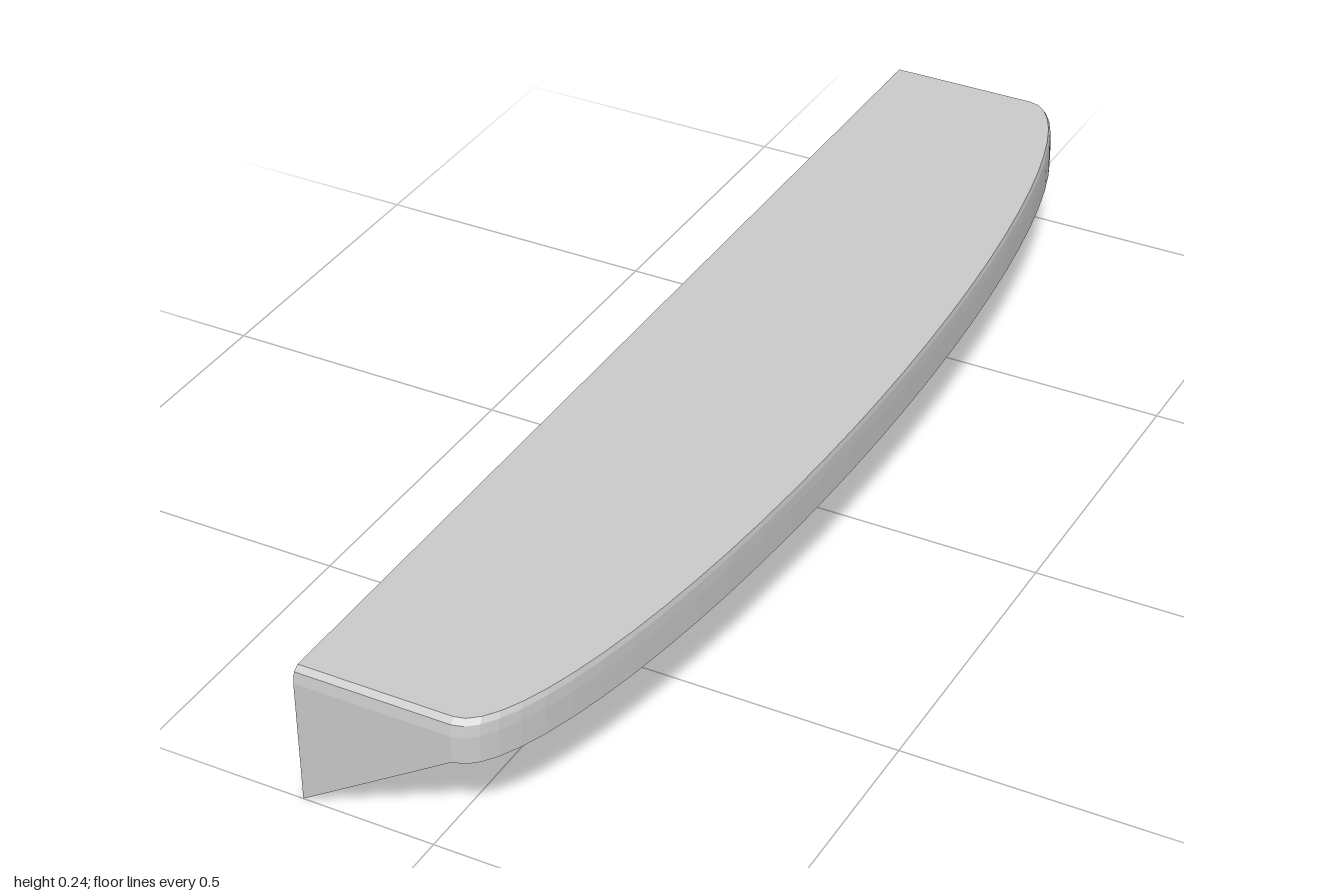
import * as THREE from 'three';

const BACK = -0.222, START = 0.04, BULGE = 0.182, STEPS = 32;

export function createModel() {
  const group = new THREE.Group();
  group.name = 'wedgeLedge';

  // Plan outline: straight back edge, then a half ellipse from front to rear
  const outline = [[BACK, -1], [BACK, 1]];
  for (let i = 0; i <= STEPS; i++) {
    const a = (i / STEPS) * Math.PI;
    outline.push([START + BULGE * Math.sin(a), Math.cos(a)]);
  }
  const n = outline.length;

  // Cross-sections from the sloping lower edge up to the softened top edge
  const ring = (y, s) => outline.map(([x, z]) => [x * s, y, z * s]);
  const rings = [
    outline.map(([x, z], i) => [x, i < 2 ? 0 : 0.167, z]),
    ring(0.213, 1),
    ring(0.232, 0.997),
    ring(0.241, 0.989),
  ];

  const positions = [];
  const tri = (a, b, c) => positions.push(...a, ...b, ...c);

  // Walls
  for (let r = 0; r < rings.length - 1; r++) {
    const lo = rings[r], hi = rings[r + 1];
    for (let i = 0; i < n; i++) {
      const j = (i + 1) % n;
      tri(lo[i], lo[j], hi[j]);
      tri(lo[i], hi[j], hi[i]);
    }
  }

  // Flat top and slanted underside
  const bottom = rings[0], top = rings[rings.length - 1];
  for (let i = 1; i < n - 1; i++) {
    tri(top[0], top[i], top[i + 1]);
    tri(bottom[0], bottom[i + 1], bottom[i]);
  }

  const geometry = new THREE.BufferGeometry();
  geometry.setAttribute('position', new THREE.Float32BufferAttribute(positions, 3));
  geometry.computeVertexNormals();

  const body = new THREE.Mesh(
    geometry,
    new THREE.MeshStandardMaterial({ color: 0xcccccc, flatShading: true })
  );
  body.name = 'ledgeBody';
  group.add(body);
  return group;
}
